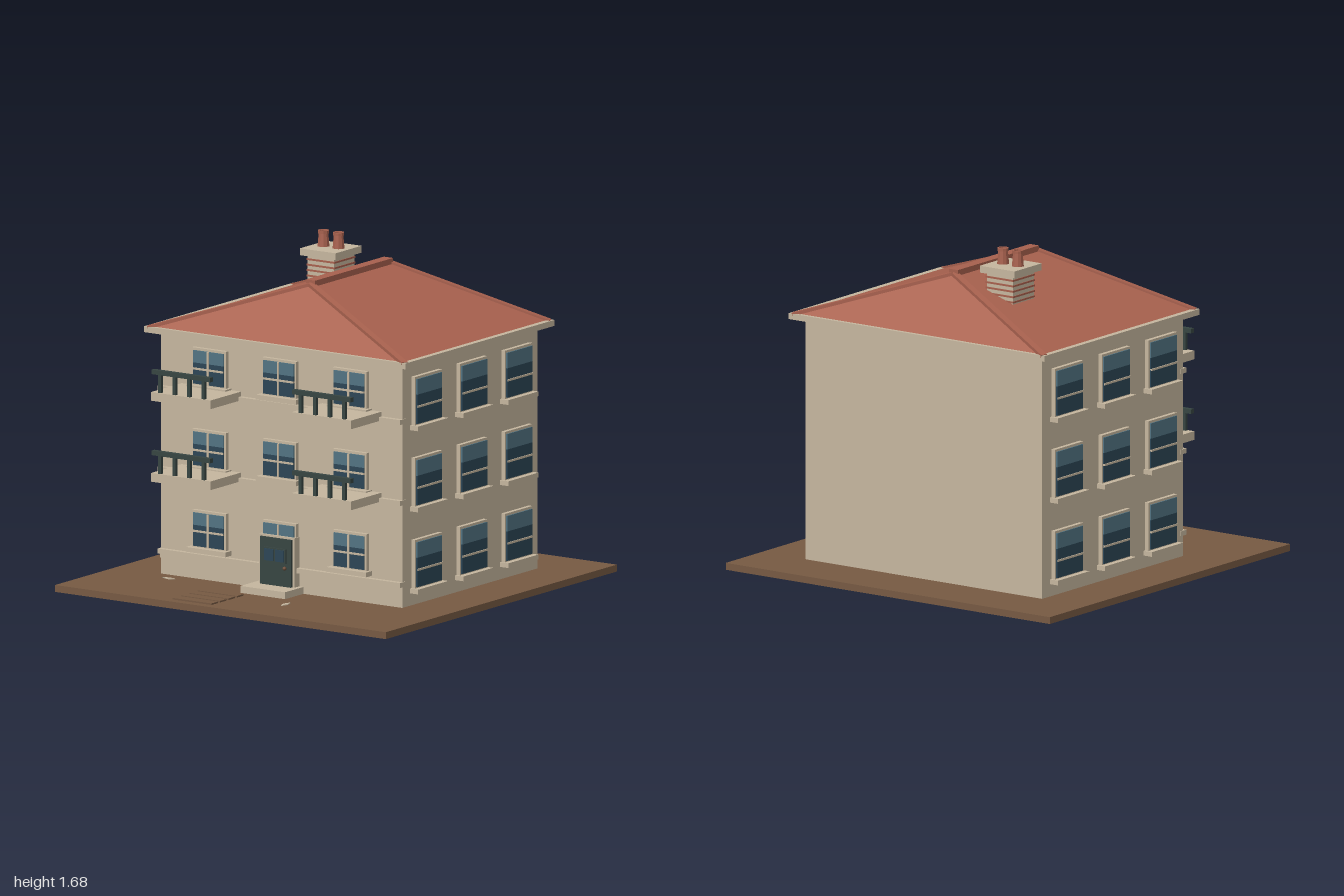
import * as THREE from 'three';

const mat = (name, color, extra = {}) => {
  const m = new THREE.MeshStandardMaterial({ color, ...extra });
  m.name = name;
  return m;
};

export function createModel() {
  const stone = mat('beige stone', 0xc6b79f);
  const roofRed = mat('terracotta', 0xa8614e);
  const earth = mat('brown earth', 0x775a43);
  const glassDark = mat('dark glass', 0x2c4656);
  const glassLight = mat('light glass', 0x527483);
  const iron = mat('dark green iron', 0x374542);
  const brass = mat('brown knob', 0x6b4a35);

  const house = new THREE.Group();
  house.name = 'house';

  // Box given by its minimum and maximum on each axis
  const box = (name, m, x0, x1, y0, y1, z0, z1, parent = house) => {
    const mesh = new THREE.Mesh(new THREE.BoxGeometry(x1 - x0, y1 - y0, z1 - z0), m);
    mesh.position.set((x0 + x1) / 2, (y0 + y1) / 2, (z0 + z1) / 2);
    mesh.name = name;
    parent.add(mesh);
    return mesh;
  };

  // Ground, walls and eaves
  box('ground', earth, -1, 1, 0, 0.035, -1, 1);
  box('walls', stone, -0.73, 0.73, 0.035, 1.26, -0.7, 0.47);
  box('eaves', stone, -0.79, 0.79, 1.26, 1.29, -0.76, 0.53);
  for (const y of [0.14, 0.555, 0.965])
    box('beltCourse', stone, -0.734, 0.734, y, y + 0.025, 0.45, 0.495);

  // Hipped roof
  const X = 0.775, Y0 = 1.285, Y1 = 1.545;
  const corners = {
    fl: [-X, Y0, 0.515], fr: [X, Y0, 0.515], bl: [-X, Y0, -0.745], br: [X, Y0, -0.745],
    rf: [0, Y1, 0.22], rb: [0, Y1, -0.45],
  };
  const faces = ['fl', 'fr', 'rf', 'br', 'bl', 'rb', 'fr', 'br', 'rb', 'fr', 'rb', 'rf',
    'bl', 'fl', 'rf', 'bl', 'rf', 'rb'];
  const roofGeo = new THREE.BufferGeometry();
  roofGeo.setAttribute('position', new THREE.Float32BufferAttribute(faces.flatMap(k => corners[k]), 3));
  roofGeo.computeVertexNormals();
  const roof = new THREE.Mesh(roofGeo, roofRed);
  roof.name = 'roof';
  house.add(roof);

  // Ridge and hip tiles
  box('ridgeTile', roofRed, -0.028, 0.028, 1.525, 1.565, -0.455, 0.22);
  for (const [a, b] of [['fl', 'rf'], ['fr', 'rf'], ['bl', 'rb'], ['br', 'rb']]) {
    const p = new THREE.Vector3(...corners[a]), q = new THREE.Vector3(...corners[b]);
    const tile = new THREE.Mesh(new THREE.BoxGeometry(0.035, 0.016, p.distanceTo(q)), roofRed);
    tile.position.copy(p).lerp(q, 0.5);
    tile.lookAt(q);
    tile.name = 'hipTile';
    house.add(tile);
  }

  // Chimney with brick courses, cap and pots
  box('chimneyStack', stone, -0.348, -0.187, 1.36, 1.57, -0.428, -0.252);
  for (const y of [1.435, 1.462, 1.49, 1.517, 1.545])
    box('brickCourse', roofRed, -0.352, -0.183, y, y + 0.009, -0.432, -0.248);
  box('chimneyCap', stone, -0.375, -0.16, 1.57, 1.605, -0.45, -0.225);
  const potProfile = [[0, 0], [0.031, 0], [0.025, 0.066], [0.029, 0.066], [0.029, 0.08],
    [0.02, 0.08], [0.02, 0.05], [0, 0.05]].map(([r, y]) => new THREE.Vector2(r, y));
  const potMat = mat('terracotta', 0xa8614e, { flatShading: true });
  for (const x of [-0.313, -0.222]) {
    const pot = new THREE.Mesh(new THREE.LatheGeometry(potProfile, 10), potMat);
    pot.position.set(x, 1.605, -0.34);
    pot.name = 'chimneyPot';
    house.add(pot);
  }

  // Window facing +z with its foot at the origin
  const makeWindow = (w, h, lightH, barY, cross, sillW) => {
    const g = new THREE.Group();
    g.name = 'window';
    box('frame', stone, -w / 2, w / 2, 0, h, -0.01, 0.022, g);
    const a = w / 2 - 0.01, top = h - 0.012;
    box('lowerGlass', glassDark, -a, a, 0.006, top - lightH, 0.02, 0.029, g);
    box('upperGlass', glassLight, -a, a, top - lightH, top, 0.02, 0.029, g);
    box('crossBar', stone, -a, a, barY - 0.005, barY + 0.005, 0.02, 0.034, g);
    if (cross) box('mullion', stone, -0.005, 0.005, 0.006, top, 0.02, 0.034, g);
    if (sillW) box('sill', stone, -sillW / 2, sillW / 2, -0.024, 0, -0.01, 0.05, g);
    house.add(g);
    return g;
  };

  // Front windows
  for (const y of [0.2, 0.61, 1.022])
    for (const x of [-0.425, 0, 0.425]) {
      const overDoor = x === 0 && y === 0.2;
      makeWindow(0.205, 0.187, 0.062, 0.083, true, overDoor ? 0 : 0.24).position.set(x, y, 0.47);
    }

  // Side windows
  for (const side of [-1, 1])
    for (const y of [0.122, 0.537, 0.948])
      for (const z of [0.275, -0.115, -0.505]) {
        const win = makeWindow(0.236, 0.245, 0.078, 0.094, false, 0.26);
        win.position.set(side * 0.73, y, z);
        win.rotation.y = side * Math.PI / 2;
      }

  // Balconies with railings
  for (const x of [-0.425, 0.425])
    for (const y of [0.56, 0.97]) {
      const g = new THREE.Group();
      g.name = 'balcony';
      g.position.set(x, y, 0);
      box('balconySlab', stone, -0.18, 0.18, 0, 0.044, 0.45, 0.735, g);
      box('rail', iron, -0.177, 0.177, 0.135, 0.158, 0.71, 0.735, g);
      for (const px of [-0.132, -0.044, 0.044, 0.132])
        box('railPost', iron, px - 0.009, px + 0.009, 0.044, 0.136, 0.715, 0.731, g);
      house.add(g);
    }

  // Front door with step, panes and knob
  box('doorStep', stone, -0.138, 0.132, 0.035, 0.07, 0.46, 0.63);
  box('doorFrame', stone, -0.107, 0.107, 0.07, 0.32, 0.46, 0.512);
  box('door', iron, -0.094, 0.094, 0.07, 0.31, 0.46, 0.525);
  box('doorWindowTrim', iron, -0.066, 0.066, 0.188, 0.262, 0.52, 0.533);
  for (const s of [-1, 1])
    box('doorPane', glassDark, s * 0.032 - 0.027, s * 0.032 + 0.027, 0.195, 0.255, 0.53, 0.537);
  const knob = new THREE.Mesh(new THREE.SphereGeometry(0.01, 10, 8), brass);
  knob.position.set(0.062, 0.165, 0.535);
  knob.name = 'doorKnob';
  house.add(knob);

  // Path slabs
  for (let i = 0; i < 4; i++) {
    const z = 0.677 + i * 0.073;
    box('pathSlab', earth, -0.323, -0.086, 0.03, 0.043, z, z + 0.058);
  }

  // Stone flakes on the ground
  for (const [x, z, turn] of [[-0.625, 0.552, 0], [0.21, 0.737, Math.PI / 2]]) {
    const flake = new THREE.Mesh(new THREE.CylinderGeometry(0.016, 0.016, 0.004, 4), stone);
    flake.scale.set(2.6, 1, 0.9);
    flake.rotation.y = turn;
    flake.position.set(x, 0.037, z);
    flake.name = 'stoneFlake';
    house.add(flake);
  }

  return house;
}
